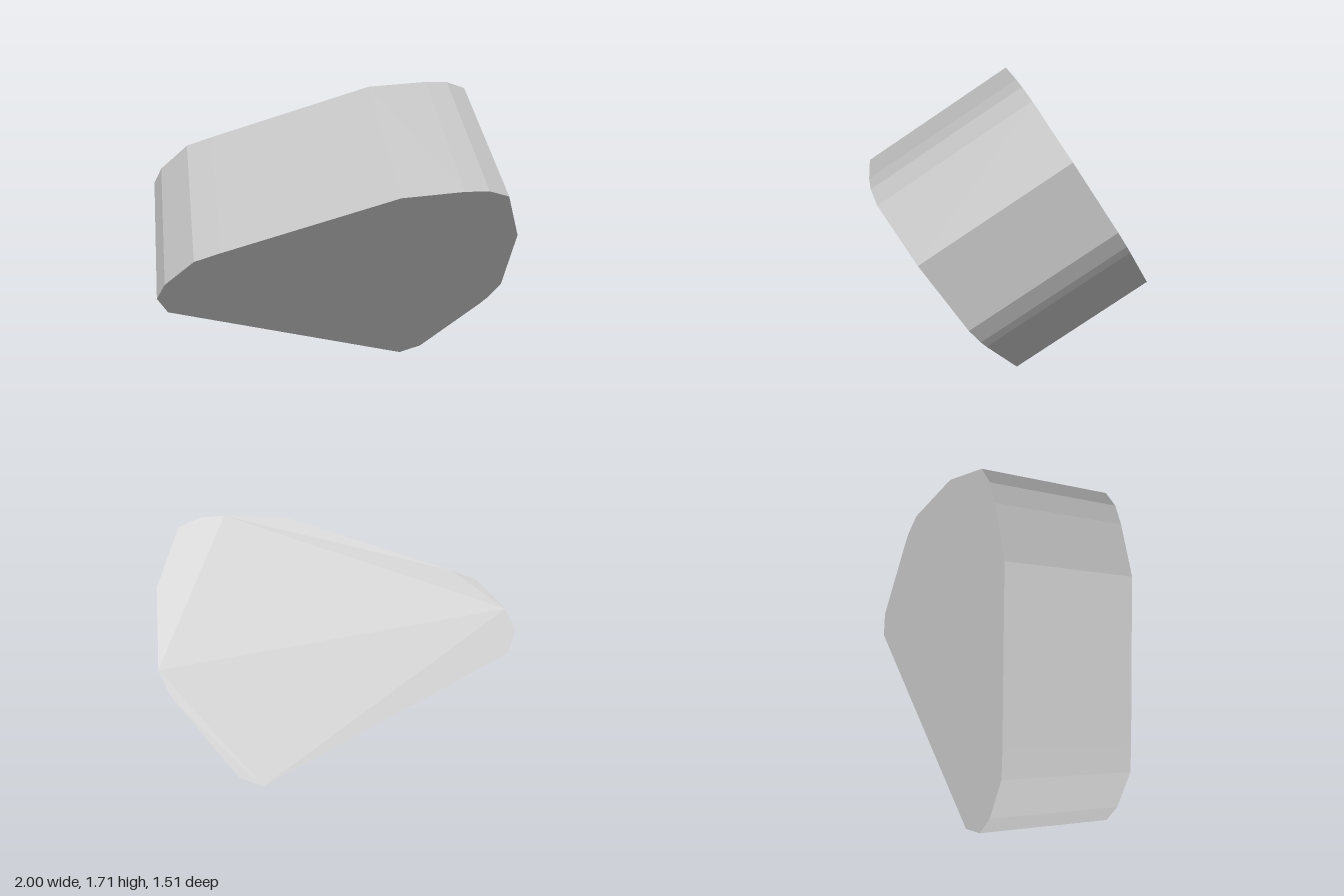
import * as THREE from 'three';

// Outline of the front face, as seen along z
const OUTLINE = [
  [0.485, 0], [0.61, 0.05], [0.91, 0.4], [0.95, 0.455], [1.0, 0.56],
  [0.985, 0.93], [0.855, 1.195], [0.74, 1.233], [0.61, 1.237], [0.28, 1.215],
  [-0.62, 0.92], [-0.76, 0.87], [-0.92, 0.72], [-0.97, 0.62], [-0.92, 0.51],
];

// The front face lies in the plane z = SLOPE_X * x + SLOPE_Y * y
const SLOPE_X = -0.04;
const SLOPE_Y = 0.631;

// Offset from the front face to the parallel back face, square to both
const BACK = new THREE.Vector3(-0.03, 0.468, -0.738);

export function createModel() {
  const group = new THREE.Group();
  group.name = 'tiltedBlock';

  const grey = new THREE.MeshStandardMaterial({ color: 0xbfbfbf, flatShading: true });
  grey.name = 'grey';

  // Straight prism, then leaned back so that its caps follow the tilted plane
  const shape = new THREE.Shape(OUTLINE.map(([x, y]) => new THREE.Vector2(x, y)));
  const geometry = new THREE.ExtrudeGeometry(shape, { depth: 1, bevelEnabled: false });
  geometry.applyMatrix4(new THREE.Matrix4().set(
    1, 0, -BACK.x, BACK.x,
    0, 1, -BACK.y, BACK.y,
    SLOPE_X, SLOPE_Y, -BACK.z, BACK.z,
    0, 0, 0, 1,
  ));
  geometry.computeVertexNormals();

  const block = new THREE.Mesh(geometry, grey);
  block.name = 'block';
  group.add(block);
  return group;
}
